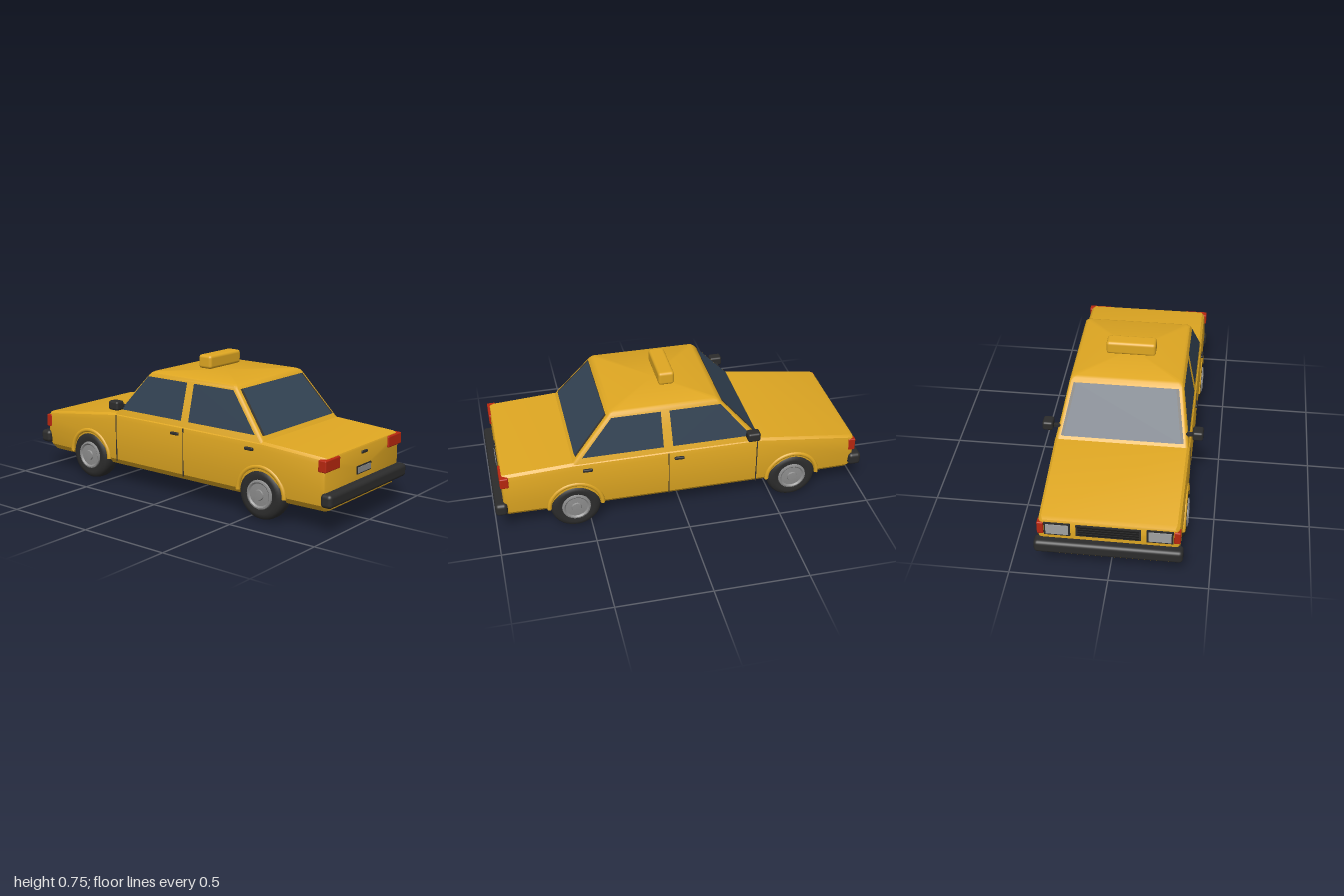
import * as THREE from 'three';
import { toCreasedNormals } from 'three/addons/utils/BufferGeometryUtils.js';
import { RoundedBoxGeometry } from 'three/addons/geometries/RoundedBoxGeometry.js';

const mat = (name, color, side = THREE.FrontSide) => {
  const m = new THREE.MeshStandardMaterial({ color, side });
  m.name = name;
  return m;
};

// Skin over a stack of closed rings, capped at both ends
function loft(rings) {
  const n = rings[0].length, pos = [];
  const tri = (...pts) => pts.forEach(p => pos.push(...p));
  for (let s = 0; s < rings.length - 1; s++) {
    for (let i = 0; i < n; i++) {
      const j = (i + 1) % n;
      const a = rings[s][i], b = rings[s][j], c = rings[s + 1][j], d = rings[s + 1][i];
      tri(a, b, c);
      tri(a, c, d);
    }
  }
  const cap = (ring, flip) => {
    const mid = [0, 1, 2].map(k => ring.reduce((t, p) => t + p[k], 0) / n);
    ring.forEach((p, i) => {
      const q = ring[(i + 1) % n];
      flip ? tri(mid, q, p) : tri(mid, p, q);
    });
  };
  cap(rings[0], true);
  cap(rings[rings.length - 1], false);
  const g = new THREE.BufferGeometry();
  g.setAttribute('position', new THREE.Float32BufferAttribute(pos, 3));
  return toCreasedNormals(g, 0.6);
}

// Flat four-cornered pane
function pane(corners) {
  const g = new THREE.BufferGeometry();
  g.setAttribute('position', new THREE.Float32BufferAttribute(corners.flat(), 3));
  g.setIndex([0, 1, 2, 0, 2, 3]);
  g.computeVertexNormals();
  return g;
}

export function createModel() {
  const car = new THREE.Group();
  car.name = 'taxi';
  const paint = mat('yellowPaint', 0xdfa722);
  const black = mat('blackRubber', 0x2c2c2c);
  const under = mat('undersideBlack', 0x191919);
  const trim = mat('darkTrim', 0x3a3630, THREE.DoubleSide);
  const glass = mat('tintedGlass', 0x334354, THREE.DoubleSide);
  const red = mat('redLamp', 0xb8270f);
  const grey = mat('wheelGrey', 0x8c8c8c);
  const lens = mat('headlampGrey', 0xa0a2a2);

  const add = (name, geo, m, x = 0, y = 0, z = 0, parent = car) => {
    const mesh = new THREE.Mesh(geo, m);
    mesh.name = name;
    mesh.position.set(x, y, z);
    parent.add(mesh);
    return mesh;
  };
  const box = (name, w, h, d, m, x, y, z) => add(name, new THREE.BoxGeometry(w, h, d), m, x, y, z);
  const soft = (name, w, h, d, r, m, x, y, z) =>
    add(name, new RoundedBoxGeometry(w, h, d, 3, r), m, x, y, z);

  // Lower body: z, half width, top, bottom (nose to tail)
  const stations = [
    [-0.955, 0.335, 0.322, 0.12], [-0.95, 0.344, 0.33, 0.113], [-0.93, 0.352, 0.338, 0.108],
    [-0.41, 0.358, 0.405, 0.106], [0.08, 0.359, 0.405, 0.106], [0.59, 0.358, 0.403, 0.106],
    [0.93, 0.355, 0.383, 0.108], [0.95, 0.348, 0.378, 0.113], [0.955, 0.338, 0.37, 0.12],
  ];
  add('body', loft(stations.map(([z, w, t, b]) => {
    const half = [[w - 0.045, b], [w - 0.012, b + 0.035], [w, b + 0.12],
      [w - 0.002, t - 0.035], [w - 0.007, t - 0.012], [w - 0.02, t]];
    return [...half.map(([x, y]) => [x, y, z]), ...half.reverse().map(([x, y]) => [-x, y, z])];
  })), paint);

  // Cabin: y, half width, front z, rear z
  const levels = [[0.395, 0.347, -0.425, 0.59], [0.635, 0.298, -0.212, 0.389],
    [0.648, 0.291, -0.2, 0.378], [0.655, 0.277, -0.185, 0.362]];
  add('cabin', loft(levels.map(([y, w, zf, zr]) => {
    const r = 0.018, ring = [];
    [[1, 1], [1, -1], [-1, -1], [-1, 1]].forEach(([sx, sz], q) => {
      for (let k = 0; k <= 4; k++) {
        const a = -Math.PI / 2 + q * Math.PI / 2 + k * Math.PI / 8;
        const cz = sz > 0 ? zr - r : zf + r;
        ring.push([sx * (w - r) + r * Math.cos(a), y, cz - r * Math.sin(a)]);
      }
    });
    return ring;
  })), paint);

  // Windows lie just outside the sloping cabin walls
  const mix = (a, b, y) => a + (b - a) * (y - 0.395) / 0.24;
  const endWindow = (name, za, zb, out, y0, y1) => {
    const make = (grow, off) => {
      const at = (x, y) => [x, y, mix(za, zb, y) + out * off];
      return pane([at(-0.306 - grow, y0), at(0.306 + grow, y0), at(0.262 + grow, y1), at(-0.262 - grow, y1)]);
    };
    add(name + 'Trim', make(0.014, 0.002), trim);
    add(name, make(0, 0.005), glass);
  };
  endWindow('windshield', -0.425, -0.212, -1, 0.42, 0.63);
  endWindow('rearWindow', 0.59, 0.389, 1, 0.425, 0.632);

  for (const s of [1, -1]) {
    const side = s > 0 ? 'left' : 'right';
    const sideWindow = (name, pts) => add(name, pane(pts.map(([z, y]) =>
      [s * (mix(0.347, 0.298, y) + 0.004), y, z])), glass);
    sideWindow(side + 'RearDoorWindow', [[0.535, 0.43], [0.105, 0.43], [0.112, 0.628], [0.37, 0.628]]);
    sideWindow(side + 'FrontDoorWindow', [[0.055, 0.43], [-0.37, 0.43], [-0.205, 0.628], [0.066, 0.628]]);

    // Door seams and handles
    for (const z of [0.08, -0.4]) box(side + 'DoorSeam', 0.004, 0.26, 0.005, trim, s * 0.357, 0.265, z);
    for (const z of [0.51, 0.025]) soft(side + 'DoorHandle', 0.016, 0.016, 0.052, 0.005, black, s * 0.36, 0.36, z);

    // Wing mirrors
    box(side + 'MirrorArm', 0.05, 0.014, 0.02, black, s * 0.353, 0.452, -0.36);
    soft(side + 'Mirror', 0.056, 0.05, 0.068, 0.012, black, s * 0.39, 0.463, -0.364);

    // Lamps
    soft(side + 'TailLamp', 0.13, 0.06, 0.045, 0.006, red, s * 0.297, 0.345, 0.942);
    box(side + 'HeadlampFrame', 0.13, 0.076, 0.02, black, s * 0.252, 0.282, -0.951);
    box(side + 'Headlamp', 0.112, 0.058, 0.008, lens, s * 0.252, 0.282, -0.961);
    soft(side + 'Indicator', 0.032, 0.07, 0.04, 0.005, red, s * 0.336, 0.282, -0.942);
  }

  // Wheels with rounded tyres, dished hubs and arch lips
  const v = (x, y) => new THREE.Vector2(x, y);
  const tyre = new THREE.LatheGeometry([v(0.07, -0.04), v(0.1, -0.048), v(0.12, -0.044), v(0.131, -0.032),
    v(0.135, -0.014), v(0.135, 0.014), v(0.131, 0.032), v(0.12, 0.045), v(0.1, 0.051), v(0.074, 0.046)], 40);
  const hub = toCreasedNormals(new THREE.LatheGeometry([v(0.078, 0.042), v(0.074, 0.055), v(0.066, 0.057),
    v(0.058, 0.05), v(0.028, 0.052), v(0.025, 0.059), v(0, 0.06)], 32).toNonIndexed(), 0.5);
  const back = new THREE.CylinderGeometry(0.075, 0.075, 0.06, 24);
  const lip = new THREE.TorusGeometry(0.142, 0.012, 8, 28, Math.PI);
  for (const z of [0.58, -0.605]) {
    for (const s of [1, -1]) {
      const wheel = new THREE.Group();
      wheel.name = (z > 0 ? 'rear' : 'front') + (s > 0 ? 'Left' : 'Right') + 'Wheel';
      wheel.position.set(s * 0.313, 0.135, z);
      wheel.rotation.z = -s * Math.PI / 2;
      add('tyre', tyre, black, 0, 0, 0, wheel);
      add('hub', hub, grey, 0, 0, 0, wheel);
      add('wheelBack', back, under, 0, -0.012, 0, wheel);
      car.add(wheel);
      add('wheelArch', lip, paint, s * 0.352, 0.135, z).rotation.y = Math.PI / 2;
    }
  }

  // Bumpers, grille, plate, boot handle
  soft('rearBumper', 0.735, 0.07, 0.064, 0.02, black, 0, 0.177, 0.968);
  soft('frontBumper', 0.735, 0.07, 0.07, 0.02, black, 0, 0.187, -0.965);
  box('grille', 0.32, 0.068, 0.02, black, 0, 0.282, -0.951);
  for (let i = 0; i < 4; i++) box('grilleBar', 0.3, 0.006, 0.006, under, 0, 0.26 + i * 0.015, -0.962);
  box('plateFrame', 0.134, 0.042, 0.012, black, 0, 0.262, 0.954);
  box('plate', 0.12, 0.03, 0.006, grey, 0, 0.262, 0.96);
  soft('bootHandle', 0.052, 0.013, 0.014, 0.004, black, 0, 0.347, 0.957);

  // Floor pan and roof sign
  box('floorPan', 0.5, 0.035, 1.67, under, 0, 0.0975, 0);
  soft('roofSign', 0.265, 0.073, 0.085, 0.016, paint, 0, 0.709, 0.042);

  return car;
}
